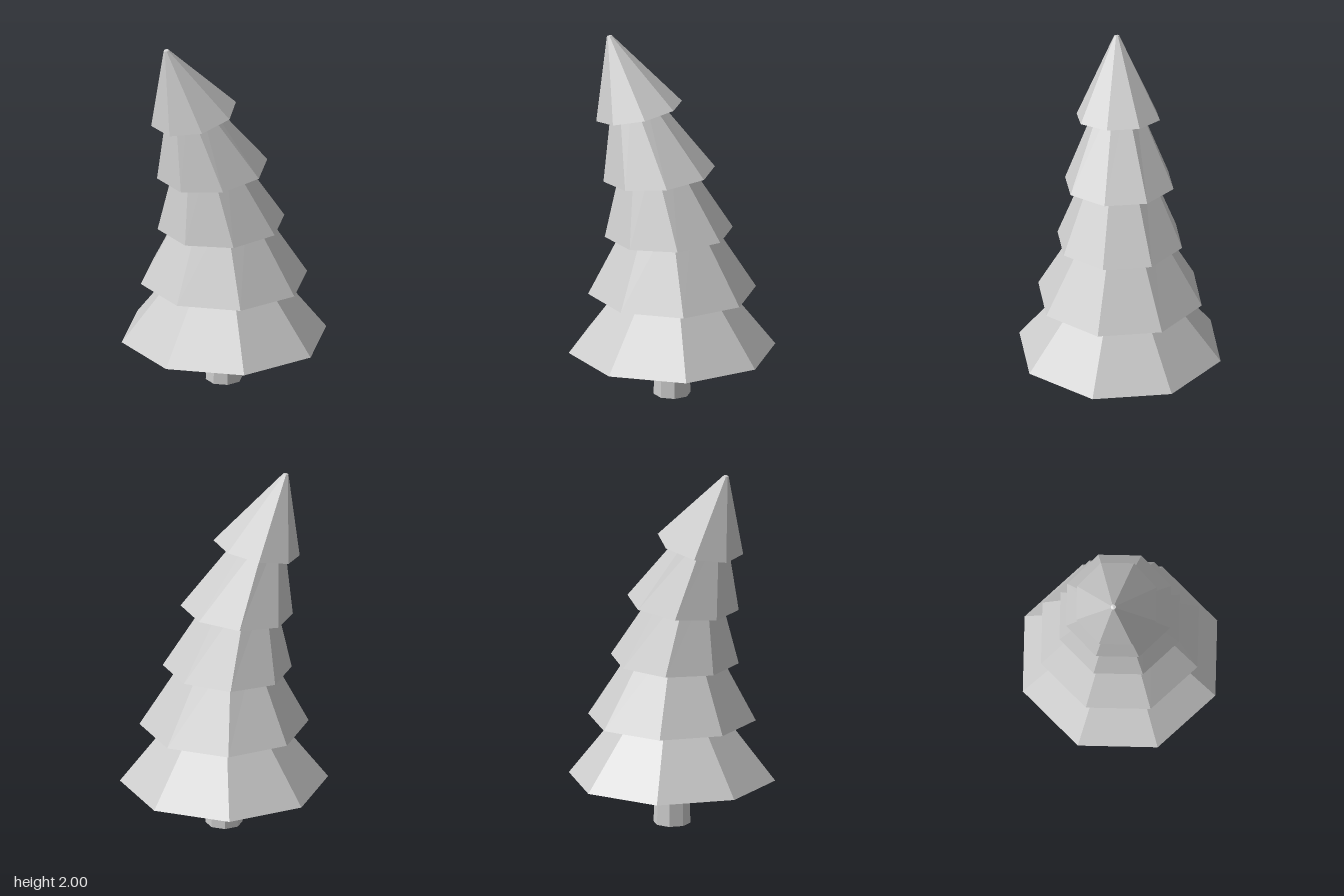
import * as THREE from 'three';

const SIDES = 8;
const TURN = -0.09;      // rotation of the octagons
const LEAN_Z = -0.43;    // sideways share of the lean, relative to x

// Corner of a tilted octagonal ring [radius, centre x, centre y, tilt]
function corner([r, cx, cy, tilt], i) {
  const a = TURN + (i / SIDES) * Math.PI * 2;
  const dx = r * Math.cos(a), dz = r * Math.sin(a);
  return [cx + dx, cy + tilt * (dx + LEAN_Z * dz), cx * LEAN_Z + dz];
}

// Faceted skin through a bottom-to-top list of rings; radius 0 closes an end
function loft(name, rings, material) {
  const pos = [];
  for (let j = 0; j < rings.length - 1; j++) {
    const lo = rings[j], hi = rings[j + 1];
    for (let i = 0; i < SIDES; i++) {
      const a = corner(lo, i), b = corner(lo, i + 1);
      const c = corner(hi, i), d = corner(hi, i + 1);
      if (lo[0] > 0) pos.push(...b, ...a, ...c);
      if (hi[0] > 0) pos.push(...b, ...c, ...d);
    }
  }
  const geo = new THREE.BufferGeometry();
  geo.setAttribute('position', new THREE.Float32BufferAttribute(pos, 3));
  geo.computeVertexNormals();
  const mesh = new THREE.Mesh(geo, material);
  mesh.name = name;
  return mesh;
}

export function createModel() {
  const group = new THREE.Group();
  group.name = 'bentPineTree';
  const mat = new THREE.MeshStandardMaterial({ color: 0xcccccc, flatShading: true });

  // Trunk, running up into the hollow of the lowest tier
  group.add(loft('trunk', [
    [0, 0, 0, 0], [0.1, 0, 0, 0], [0.088, 0, 0.46, 0], [0, 0, 0.46, 0],
  ], mat));

  // Foliage: each tier is a wide rim and a narrow neck, leaning more with height
  group.add(loft('foliage', [
    [0, 0, 0.44, 0],                 // hollow underside
    [0.56, 0, 0.255, 0],             // tier 1
    [0.18, 0, 0.74, 0],
    [0.455, 0, 0.588, 0],            // tier 2
    [0.18, -0.028, 1.06, 0.03],
    [0.347, -0.017, 0.918, 0.036],   // tier 3
    [0.14, -0.115, 1.385, 0.1],
    [0.302, -0.067, 1.242, 0.1],     // tier 4
    [0.092, -0.222, 1.7, 0.21],
    [0.232, -0.172, 1.588, 0.21],    // tier 5
    [0.014, -0.327, 1.997, 0.21],    // blunt tip
    [0, -0.327, 2, 0],
  ], mat));

  return group;
}
